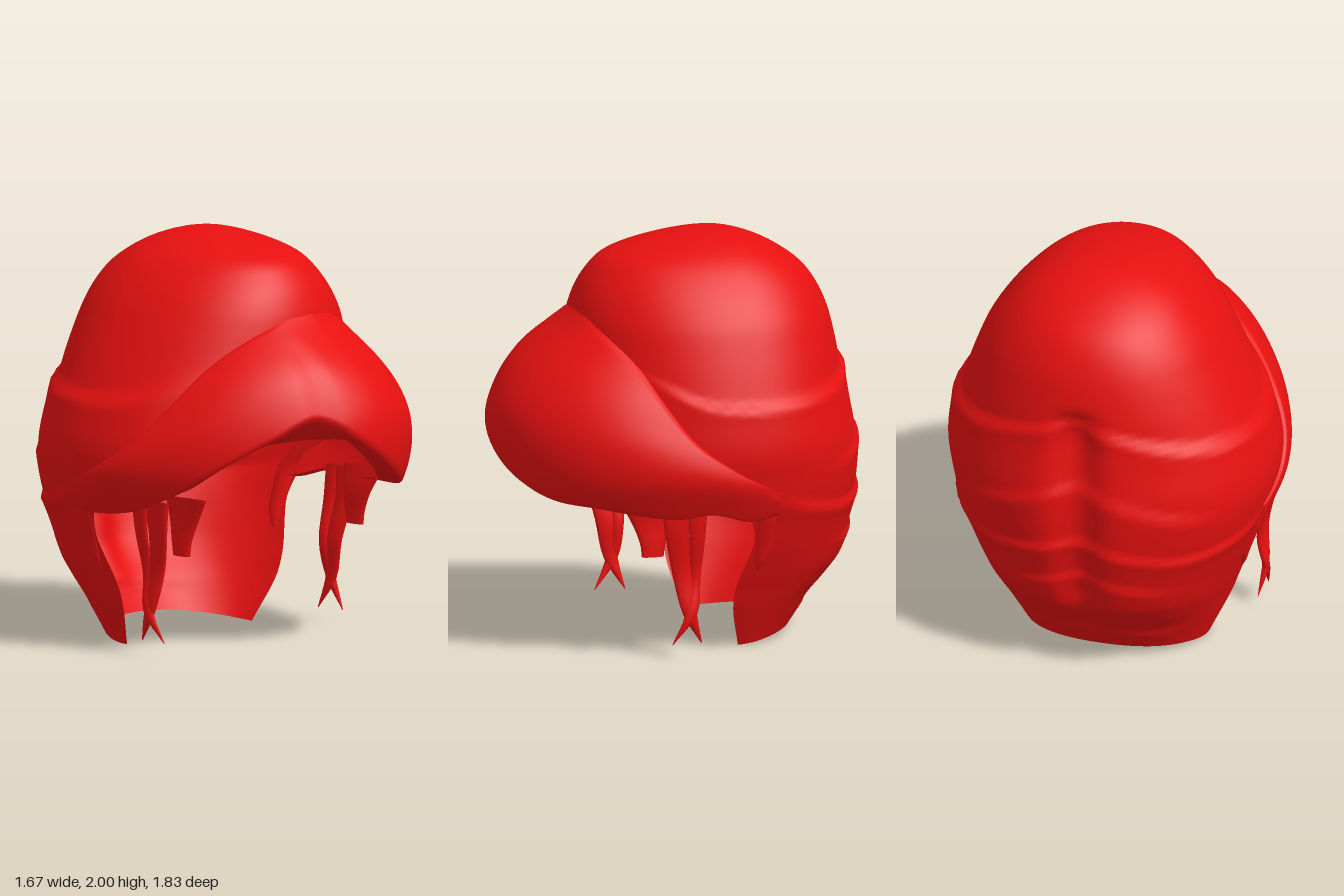
import * as THREE from 'three';
import { mergeVertices } from 'three/addons/utils/BufferGeometryUtils.js';

const RAD = Math.PI / 180, ZC = -0.2;
const clamp = THREE.MathUtils.clamp, smooth = THREE.MathUtils.smoothstep, lerp = THREE.MathUtils.lerp;

// Smooth interpolation through rows [key, value, value...] with rising keys.
function curve(rows, k, col = 1) {
  const n = rows.length - 1;
  k = clamp(k, rows[0][0], rows[n][0]);
  let i = 0;
  while (i < n - 1 && k > rows[i + 1][0]) i++;
  const slope = j => {
    const a = rows[Math.max(j - 1, 0)], b = rows[Math.min(j + 1, n)];
    return (b[col] - a[col]) / (b[0] - a[0]);
  };
  const a = rows[i], b = rows[i + 1], h = b[0] - a[0], t = (k - a[0]) / h, t2 = t * t, t3 = t2 * t;
  return (2 * t3 - 3 * t2 + 1) * a[col] + (t3 - 2 * t2 + t) * h * slope(i)
    + (3 * t2 - 2 * t3) * b[col] + (t3 - t2) * h * slope(i + 1);
}

// Head cross-sections: height, half width, front z, back z (keyed by root of depth below the top).
const byDepth = rows => rows.map(([y, ...r]) => [Math.sqrt(2 - y), ...r]);
const HEAD = byDepth([
  [2, 0, -0.2, -0.2], [1.98, 0.17, 0.0, -0.34], [1.9, 0.35, 0.31, -0.53], [1.8, 0.46, 0.42, -0.66],
  [1.65, 0.57, 0.49, -0.75], [1.45, 0.665, 0.52, -0.805], [1.3, 0.725, 0.54, -0.83], [1.2, 0.765, 0.55, -0.855],
  [1, 0.81, 0.58, -0.9], [0.8, 0.785, 0.58, -0.91], [0.6, 0.715, 0.5, -0.885], [0.4, 0.64, 0.4, -0.84],
  [0.3, 0.6, 0.35, -0.77], [0.2, 0.56, 0.3, -0.68], [0, 0.46, 0.2, -0.56]]);
// Outer limit of the swept fringe: height, half width, front z.
const HULL = byDepth([
  [1.66, 0.62, 0.54], [1.55, 0.7, 0.67], [1.4, 0.755, 0.8], [1.2, 0.81, 0.9], [1.05, 0.845, 0.92],
  [0.9, 0.845, 0.9], [0.75, 0.785, 0.85], [0.6, 0.71, 0.76]]);

// Lines by angle from the front.
const SEAM = [[0, 1.63], [20, 1.6], [48, 1.42], [70, 1.09], [84, 0.94], [93, 0.86], [102, 0.8], [120, 0.74], [145, 0.72], [180, 0.8]];
const CROWN_LINE = [[45, 1.44], [60, 1.36], [78, 1.28], [100, 1.27], [140, 1.31], [180, 1.43]];
const MID_LINE = [[100, 0.95], [140, 0.95], [180, 1.1]];
const LOW_LINE = [[90, 0.58], [140, 0.52], [180, 0.6]];
const NAPE_LINE = [[90, 0.3], [140, 0.18], [180, 0.22]];
const FRINGE_EDGE = [[-100, 0.72], [-90, 0.7], [-76, 0.73], [-64, 0.83], [-50, 0.98], [-38, 1.1], [-23, 1.2],
  [-5, 1.05], [9, 0.92], [20, 0.84], [31, 0.79], [45, 0.77], [69, 0.72], [79, 0.74], [90, 0.69], [100, 0.72]];
const INNER_EDGE = [[-75, 0.68], [-60, 0.8], [-48, 0.98], [-35, 1.06], [0, 1.07]];

const pow = v => Math.sign(v) * Math.abs(v) ** 0.95;
// Each fold steps out sharply below its line, then melts back into the head.
const fold = (line, a, y, size, length, from) => {
  const u = curve(line, a) - y;
  return u > 0 ? size * smooth(u, 0, 0.045) * Math.exp(-u / length) * smooth(a, from, from + 30) : 0;
};

function headPoint(deg, y) {
  const a = Math.abs(deg), s = Math.sin(deg * RAD), c = Math.cos(deg * RAD), t = Math.sqrt(Math.max(2 - y, 0));
  const out = fold(CROWN_LINE, a, y, 0.035, 0.15, 42) + fold(SEAM, a, y, 0.03, 0.12, 88)
    + fold(MID_LINE, a, y, 0.025, 0.12, 120) + fold(LOW_LINE, a, y, 0.022, 0.1, 130)
    + fold(NAPE_LINE, a, y, 0.015, 0.08, 120);
  const cleft = 0.07 * Math.exp(-(((180 - a) / 7) ** 2)) * smooth(1.5 - y, 0, 0.15) * smooth(y, 0.1, 0.5);
  const w = curve(HEAD, t), depth = c > 0 ? curve(HEAD, t, 2) - ZC : ZC - curve(HEAD, t, 3);
  const wobble = 0.035 * Math.sin(9 * y - 0.8) * smooth(125 - a, 0, 35) * smooth(0.75 - y, 0, 0.2);
  return new THREE.Vector3(
    pow(s) * (w + out) + 0.045 * clamp((y - 0.9) / 0.7, 0, 1) - 0.02 * clamp(1 - y * 2, 0, 1),
    y, ZC + pow(c) * (depth + out - cleft) + wobble);
}

function fringePoint(deg, y, v) {
  const s = Math.sin(deg * RAD), c = Math.cos(deg * RAD), t = Math.sqrt(2 - y);
  const part = 0.018 * Math.exp(-(((deg + 21) / 4) ** 2)) * smooth(v, 0.05, 0.3);
  const hull = new THREE.Vector3(s * curve(HULL, t) + 0.07 * Math.max(c, 0), y,
    ZC + c * (curve(HULL, t, 2) - ZC - part));
  const fade = smooth(101 - Math.abs(deg), 0, 18);
  const base = headPoint(deg, y);
  base.x += 0.012 * s * (v > 0.01 ? 1 : -1);
  return base.lerp(hull, (1 - (1 - v) ** 5) * fade);
}

// Welded surface from patches of columns of points, each column running downwards.
function surface(...patches) {
  const index = [], points = [];
  for (const columns of patches) {
    const rows = columns[0].length, start = points.length;
    points.push(...columns.flat());
    for (let i = 0; i < columns.length - 1; i++)
      for (let j = 0; j < rows - 1; j++) {
        const a = start + i * rows + j, b = a + rows;
        index.push(a, a + 1, b, b, a + 1, b + 1);
      }
  }
  let g = new THREE.BufferGeometry().setFromPoints(points);
  g.setIndex(index);
  g = mergeVertices(g, 1e-5);
  g.computeVertexNormals();
  return g;
}

// Thin tapering lock through points [x, y, z, width].
function lock(points, side) {
  const mid = new THREE.CatmullRomCurve3(points.map(p => new THREE.Vector3(p[0] * side, p[1], p[2])));
  const widths = points.map((p, i) => [i, p[3]]), steps = 16, ring = 8, columns = [];
  for (let k = 0; k <= ring; k++) {
    const q = k / ring * Math.PI * 2, col = [];
    for (let i = 0; i <= steps; i++) {
      const u = i / steps, w = curve(widths, u * (points.length - 1));
      const p = mid.getPoint(u);
      p.x += Math.sin(q) * Math.min(0.016, w * 0.3) * side;
      p.z += Math.cos(q) * w / 2;
      col.push(p);
    }
    columns.push(col);
  }
  return surface(columns);
}

export function createModel() {
  const group = new THREE.Group();
  const red = new THREE.MeshStandardMaterial({ color: 0xe81010, side: THREE.DoubleSide });
  red.name = 'red hair';
  const add = (name, geometry) => {
    const mesh = new THREE.Mesh(geometry, red);
    mesh.name = name;
    group.add(mesh);
  };

  // Crown all round down to the cut line, then the folded back and nape below it
  const cut = a => curve(SEAM, Math.min(a, 93)) - 0.1;
  const column = (d, top, bottom, rows, bias) => Array.from({ length: rows + 1 },
    (_, j) => headPoint(d, top - (top - bottom) * (j / rows) ** bias));
  const crown = [], back = [];
  for (let d = -180; d <= 180; d += 3) crown.push(column(d, 2, cut(Math.abs(d)), 56, 1.35));
  for (let d = 90; d <= 270; d += 3) {
    const a = d > 180 ? 360 - d : d;
    back.push(column(d > 180 ? d - 360 : d, cut(a), 0.06 * smooth(a, 80, 180), 34, 1));
  }
  add('crownAndBack', surface(crown, back));

  // Swept fringe, with its lower rim rolled inwards
  const fringe = [];
  for (let d = -100; d <= 100; d += 2.5) {
    const top = curve(SEAM, Math.abs(d)) + 0.01, edge = Math.min(curve(FRINGE_EDGE, d), top - 0.03), col = [];
    for (let j = 0; j <= 28; j++) {
      const v = (j / 28) ** 1.4;
      col.push(fringePoint(d, lerp(top, edge, v), v));
    }
    const rim = col[28], front = smooth(75 - Math.abs(d), 0, 30);
    const inner = Math.min(edge, curve(INNER_EDGE, d));
    for (const [scale, drop] of [[0.985, -0.012], [0.95, -0.012], [0.88, 0.0]]) {
      const k = lerp(1 - (1 - scale) * 0.5, scale, front);
      col.push(new THREE.Vector3(rim.x * k, lerp(edge, inner, (1 - scale) / 0.12 * front) + drop, ZC + (rim.z - ZC) * k));
    }
    fringe.push(col);
  }
  add('fringe', surface(fringe));

  // Loose locks in front of and behind each ear
  for (const [side, label] of [[1, 'left'], [-1, 'right']]) {
    add(label + 'FrontLock', lock([[0.71, 0.77, 0.16, 0.16], [0.69, 0.62, 0.155, 0.12], [0.655, 0.42, 0.12, 0.1],
      [0.67, 0.22, 0.085, 0.07], [0.65, 0.07, 0.02, 0.005]], side));
    add(label + 'CrossingLock', lock([[0.72, 0.77, 0.06, 0.1], [0.695, 0.6, 0.055, 0.08], [0.65, 0.4, 0.055, 0.06],
      [0.675, 0.22, 0.08, 0.06], [0.66, 0.07, 0.17, 0.005]], side));
    add(label + 'Sideburn', lock([[0.66, 0.8, 0.31, 0.26], [0.64, 0.68, 0.28, 0.18], [0.64, 0.58, 0.265, 0.13],
      [0.64, 0.51, 0.265, 0.11]], side));
    add(label + 'EarCurl', lock([[0.77, 0.81, -0.21, 0.08], [0.752, 0.72, -0.27, 0.1], [0.71, 0.6, -0.28, 0.1],
      [0.675, 0.5, -0.28, 0.08], [0.65, 0.41, -0.26, 0.01]], side));
  }
  return group;
}
